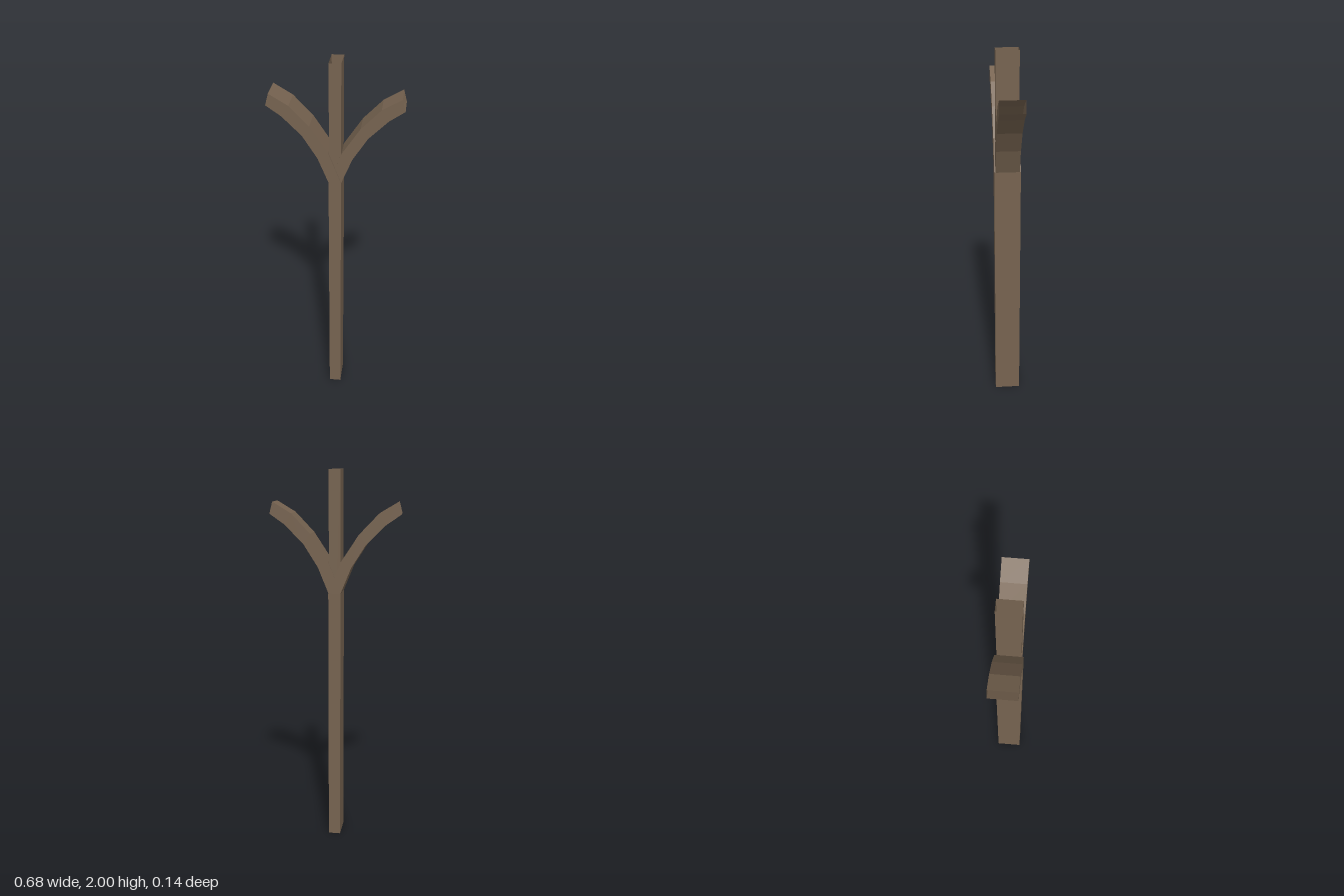
import * as THREE from 'three';

// Open-ended rectangular tube through cross-sections [x1, y1, x2, y2]:
// the two ends of each section in the xy plane, spread to +-depth in z.
function rectTube(sections, depth, mirror = 1) {
  const rings = sections.map(([x1, y1, x2, y2]) => [
    [x1 * mirror, y1, depth],
    [x2 * mirror, y2, depth],
    [x2 * mirror, y2, -depth],
    [x1 * mirror, y1, -depth],
  ]);
  const pos = [];
  for (let i = 0; i < rings.length - 1; i++) {
    for (let j = 0; j < 4; j++) {
      const k = (j + 1) % 4;
      const a = rings[i][j], b = rings[i][k];
      const c = rings[i + 1][k], d = rings[i + 1][j];
      // keep the outside facing outwards on the mirrored side
      const quad = mirror > 0 ? [a, b, c, a, c, d] : [a, c, b, a, d, c];
      quad.forEach((p) => pos.push(...p));
    }
  }
  const geometry = new THREE.BufferGeometry();
  geometry.setAttribute('position', new THREE.Float32BufferAttribute(pos, 3));
  geometry.computeVertexNormals();
  return geometry;
}

export function createModel() {
  const group = new THREE.Group();
  group.name = 'branchingPost';
  const bark = new THREE.MeshStandardMaterial({
    color: 0x766350, side: THREE.DoubleSide, flatShading: true,
  });
  bark.name = 'brown';

  const add = (name, geometry) => {
    const mesh = new THREE.Mesh(geometry, bark);
    mesh.name = name;
    group.add(mesh);
  };

  // Straight hollow post, the narrowest of the three nested tubes
  add('centrePost', rectTube([[-0.03, 0, 0.03, 0], [-0.03, 2, 0.03, 2]], 0.059));

  // Stem that rises straight, then bends outwards: inner edge, outer edge
  const branch = [
    [-0.032, 0, 0.032, 0],
    [-0.032, 1.37, 0.032, 1.37],
    [0.033, 1.535, 0.087, 1.505],
    [0.126, 1.676, 0.163, 1.625],
    [0.225, 1.78, 0.262, 1.724],
    [0.322, 1.838, 0.338, 1.777],
  ];
  add('leftBranch', rectTube(branch, 0.063, 1));
  add('rightBranch', rectTube(branch, 0.069, -1));
  return group;
}
